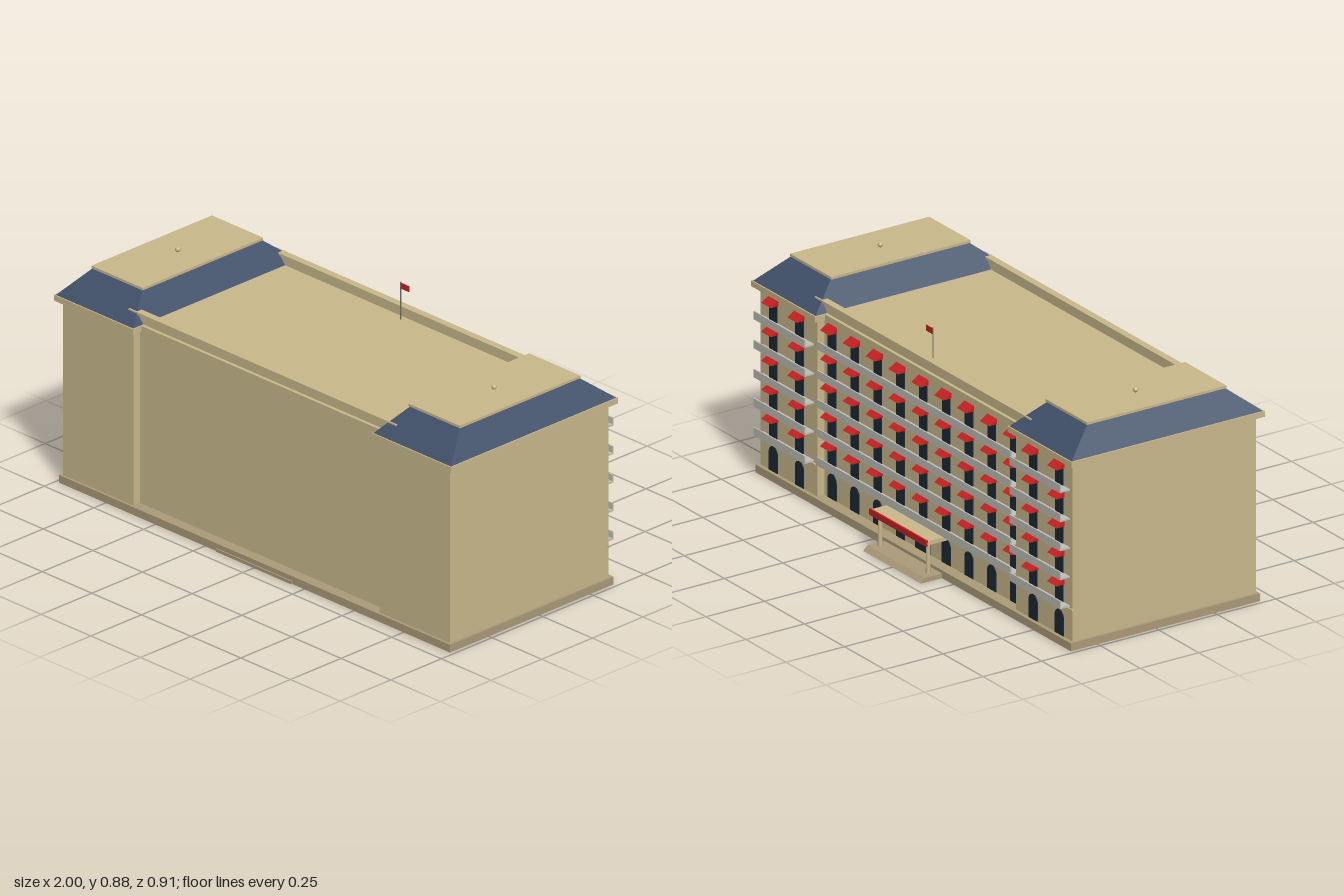
import * as THREE from 'three';

const mat = (name, color, side = THREE.FrontSide) => {
  const m = new THREE.MeshStandardMaterial({ color, side });
  m.name = name;
  return m;
};

export function createModel() {
  const stone = mat('tan stone', 0xc8b88a);
  const plinth = mat('brown plinth', 0xab9a78);
  const slate = mat('blue slate', 0x3f5068);
  const glass = mat('dark glass', 0x1c2836);
  const concrete = mat('balcony grey', 0xbfbfb6);
  const red = mat('awning red', 0xc82020);
  const metal = mat('pole metal', 0x77766f);

  const model = new THREE.Group();
  model.name = 'hotel';

  const add = (name, geometry, material, parent = model) => {
    const mesh = new THREE.Mesh(geometry, material);
    mesh.name = name;
    parent.add(mesh);
    return mesh;
  };
  // Box given by its limits on each axis
  const box = (name, [x0, x1], [y0, y1], [z0, z1], material, parent) => {
    const g = new THREE.BoxGeometry(x1 - x0, y1 - y0, z1 - z0);
    g.translate((x0 + x1) / 2, (y0 + y1) / 2, (z0 + z1) / 2);
    return add(name, g, material, parent);
  };
  // Prism along x from a profile of [z, y] points
  const prism = (name, points, x, width, material, parent) => {
    const shape = new THREE.Shape(points.map(([z, y]) => new THREE.Vector2(-z, y)));
    const g = new THREE.ExtrudeGeometry(shape, { depth: width, bevelEnabled: false });
    g.translate(0, 0, -width / 2).rotateY(Math.PI / 2).translate(x, 0, 0);
    return add(name, g, material, parent);
  };

  // Plinth and central block
  box('plinth', [-0.985, 0.985], [0, 0.03], [-0.365, 0.442], plinth);
  box('frontStep', [-0.19, 0.19], [0, 0.012], [0.44, 0.447], plinth);
  box('centralBlock', [-0.625, 0.625], [0.03, 0.73], [-0.32, 0.4], stone);
  box('centralCornice', [-0.64, 0.64], [0.71, 0.73], [-0.332, 0.412], stone);
  for (const [side, z] of [['back', -0.31], ['front', 0.39]]) {
    box(side + 'Parapet', [-0.65, 0.65], [0.73, 0.762], [z - 0.009, z + 0.009], stone);
    box(side + 'ParapetCap', [-0.675, 0.675], [0.76, 0.77], [z - 0.014, z + 0.014], stone);
  }

  // End wings with sloped roofs
  for (const s of [-1, 1]) {
    const wing = new THREE.Group();
    wing.name = s > 0 ? 'leftWing' : 'rightWing';
    model.add(wing);
    const span = (a, b) => (s > 0 ? [a, b] : [-b, -a]);
    box('wingBlock', span(0.62, 0.975), [0.03, 0.71], [-0.35, 0.432], stone, wing);
    box('wingCornice', span(0.6, 1), [0.708, 0.73], [-0.373, 0.453], stone, wing);

    const roof = new THREE.BoxGeometry(0.39, 0.09, 0.816);
    const p = roof.attributes.position;
    for (let i = 0; i < p.count; i++) {
      if (p.getY(i) > 0) {
        p.setX(i, Math.sign(p.getX(i)) * 0.125);
        p.setZ(i, Math.sign(p.getZ(i)) * 0.295);
      }
    }
    roof.computeVertexNormals();
    add('wingRoof', roof, slate, wing).position.set(s * 0.8, 0.775, 0.04);
    box('roofSlab', span(0.67, 0.928), [0.82, 0.83], [-0.257, 0.338], stone, wing);
    add('roofBall', new THREE.SphereGeometry(0.01, 12, 8), stone, wing)
      .position.set(s * 0.797, 0.84, 0.04);
    box('stringCourse', span(0.63, 0.98), [0.147, 0.153], [-0.356, -0.345], stone, wing);
  }

  // Arched ground floor window, facing the back
  const arch = new THREE.Shape();
  arch.moveTo(-0.027, 0.031);
  arch.lineTo(0.027, 0.031);
  arch.lineTo(0.027, 0.1);
  arch.absarc(0, 0.1, 0.027, 0, Math.PI, false);
  arch.closePath();
  const archGeometry = new THREE.ExtrudeGeometry(arch, { depth: 0.004, bevelEnabled: false, curveSegments: 8 });

  // Back facade: bays of windows, awnings and balconies
  const bays = [];
  for (let i = -4; i <= 4; i++) bays.push([i * 0.1425, -0.32]);
  for (const s of [-1, 1]) bays.push([s * 0.73, -0.35], [s * 0.893, -0.35]);
  const facade = new THREE.Group();
  facade.name = 'backFacade';
  model.add(facade);

  for (const [x, z] of bays) {
    add('groundWindow', archGeometry, glass, facade).position.set(x, 0, z - 0.003);
  }
  for (let floor = 0; floor < 5; floor++) {
    const y = 0.157 + floor * 0.111;
    for (const [x, z] of bays) {
      box('window', [x - 0.025, x + 0.025], [y + 0.005, y + 0.085], [z - 0.003, z + 0.002], glass, facade);
      prism('awning', [[z, y + 0.094], [z, y + 0.073], [z - 0.033, y + 0.073]], x, 0.06, red, facade);
    }
    for (const [x0, x1, z] of [[-0.605, 0.605, -0.32], [0.64, 0.957, -0.35], [-0.957, -0.64, -0.35]]) {
      box('balconySlab', [x0, x1], [y, y + 0.006], [z - 0.042, z], concrete, facade);
      box('balconyRail', [x0, x1], [y, y + 0.031], [z - 0.042, z - 0.037], concrete, facade);
    }
  }

  // Entrance with platform, columns and canopy
  const entrance = new THREE.Group();
  entrance.name = 'entrance';
  model.add(entrance);
  prism('platform', [[-0.33, 0], [-0.455, 0], [-0.437, 0.018], [-0.33, 0.018]], 0, 0.36, plinth, entrance);
  box('canopy', [-0.178, 0.178], [0.138, 0.153], [-0.425, -0.32], stone, entrance);
  box('canopyFascia', [-0.178, 0.178], [0.134, 0.157], [-0.431, -0.424], red, entrance);
  for (const x of [-0.15, 0.15]) {
    add('column', new THREE.CylinderGeometry(0.008, 0.009, 0.122, 12), stone, entrance)
      .position.set(x, 0.078, -0.403);
  }
  box('door', [-0.045, 0.045], [0.031, 0.127], [-0.326, -0.318], glass, entrance);

  // Flagpole
  add('flagpole', new THREE.CylinderGeometry(0.0025, 0.0025, 0.145, 8), metal)
    .position.set(0, 0.8025, -0.28);
  box('flag', [0.002, 0.042], [0.85, 0.872], [-0.2815, -0.2785], red);

  return model;
}
